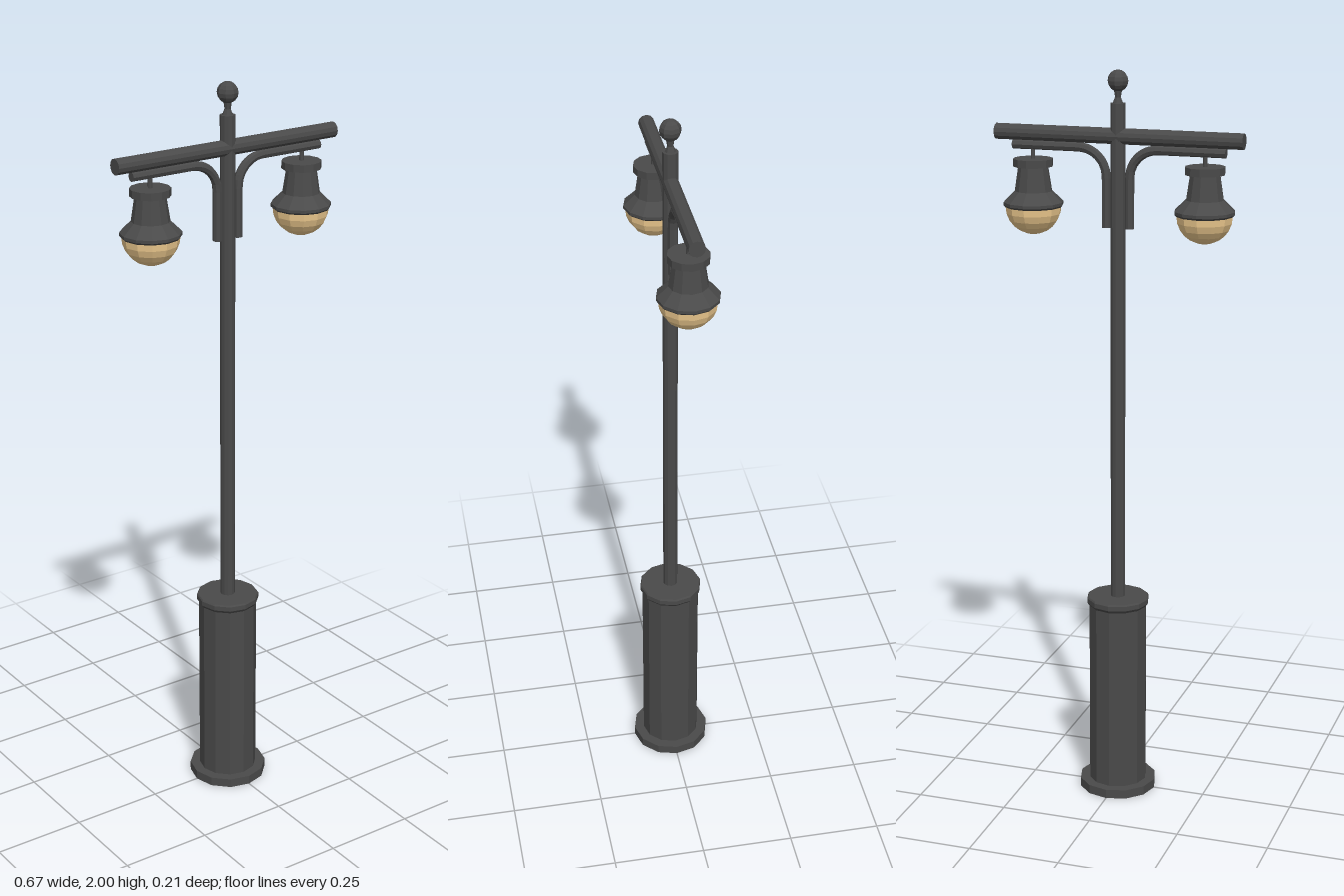
import * as THREE from 'three';

const metal = new THREE.MeshStandardMaterial({ color: 0x4a4a4a, flatShading: true });
const glass = new THREE.MeshStandardMaterial({ color: 0xf0cc90, flatShading: true });

function add(parent, name, geometry, material = metal) {
  const mesh = new THREE.Mesh(geometry, material);
  mesh.name = name;
  parent.add(mesh);
  return mesh;
}

// Revolves a bottom-to-top profile of [radius, y] pairs
function turned(profile, sides = 12) {
  return new THREE.LatheGeometry(profile.map(([r, y]) => new THREE.Vector2(r, y)), sides);
}

// Hanging lantern, with y measured from the ground
function createLantern() {
  const lantern = new THREE.Group();
  add(lantern, 'lanternStem', turned([[0, 1.755], [0.006, 1.755], [0.006, 1.795], [0, 1.795]], 8));
  add(lantern, 'lanternHousing', turned([
    [0, 1.635], [0.075, 1.635], [0.08, 1.64], [0.08, 1.648], [0.05, 1.677],
    [0.04, 1.742], [0.053, 1.742], [0.053, 1.762], [0, 1.762],
  ]));
  const bowl = [];
  for (let i = 0; i <= 6; i++) {
    const a = (i / 6) * Math.PI / 2;
    bowl.push([0.075 * Math.sin(a), 1.637 - 0.075 * Math.cos(a)]);
  }
  add(lantern, 'lanternGlass', turned(bowl), glass);
  return lantern;
}

// Curved bracket: up beside the post, then out under the crossbar
function createBracket(side) {
  const bracket = new THREE.Group();
  const r = 0.0125, x = 0.032, y = 1.798, bend = 0.075;
  const points = [new THREE.Vector3(side * x, 1.59, 0)];
  for (let i = 0; i <= 6; i++) {
    const a = (i / 6) * Math.PI / 2;
    points.push(new THREE.Vector3(
      side * (x + bend * (1 - Math.cos(a))), y - bend + bend * Math.sin(a), 0));
  }
  points.push(new THREE.Vector3(side * 0.29, y, 0));
  const path = new THREE.CurvePath();
  for (let i = 1; i < points.length; i++) path.add(new THREE.LineCurve3(points[i - 1], points[i]));
  add(bracket, 'bracketTube', new THREE.TubeGeometry(path, 40, r, 8));

  // Closed ends
  const foot = add(bracket, 'bracketFootCap', new THREE.CircleGeometry(r, 8));
  foot.rotation.x = Math.PI / 2;
  foot.position.copy(points[0]);
  const tip = add(bracket, 'bracketTipCap', new THREE.CircleGeometry(r, 8));
  tip.rotation.y = side * Math.PI / 2;
  tip.position.copy(points[points.length - 1]);
  return bracket;
}

export function createModel() {
  const lamp = new THREE.Group();
  lamp.name = 'streetLamp';

  // Pedestal
  add(lamp, 'basePlate', turned([[0, 0], [0.107, 0], [0.107, 0.025], [0, 0.025]]));
  add(lamp, 'pedestal', turned([
    [0.08, 0.025], [0.08, 0.542], [0.086, 0.55], [0.086, 0.563], [0.083, 0.567], [0, 0.567],
  ]));

  // Post and finial
  add(lamp, 'post', turned([[0.02, 0.56], [0.02, 1.915], [0, 1.915]]));
  add(lamp, 'finialNeck', turned([[0.014, 1.915], [0.008, 1.93], [0.012, 1.955]], 8));
  add(lamp, 'finialBall', new THREE.SphereGeometry(0.028, 8, 8)).position.y = 1.972;

  // Crossbar
  const bar = add(lamp, 'crossbar', new THREE.CylinderGeometry(0.021, 0.021, 0.674, 12));
  bar.rotation.set(0, Math.PI / 2, Math.PI / 2);
  bar.rotation.set(0, 0, Math.PI / 2);
  bar.position.y = 1.83;

  // Matching bracket and lantern on each side
  for (const side of [-1, 1]) {
    const label = side > 0 ? 'left' : 'right';
    const bracket = createBracket(side);
    bracket.name = label + 'Bracket';
    const lantern = createLantern();
    lantern.name = label + 'Lantern';
    lantern.position.x = side * 0.235;
    lamp.add(bracket, lantern);
  }
  return lamp;
}
